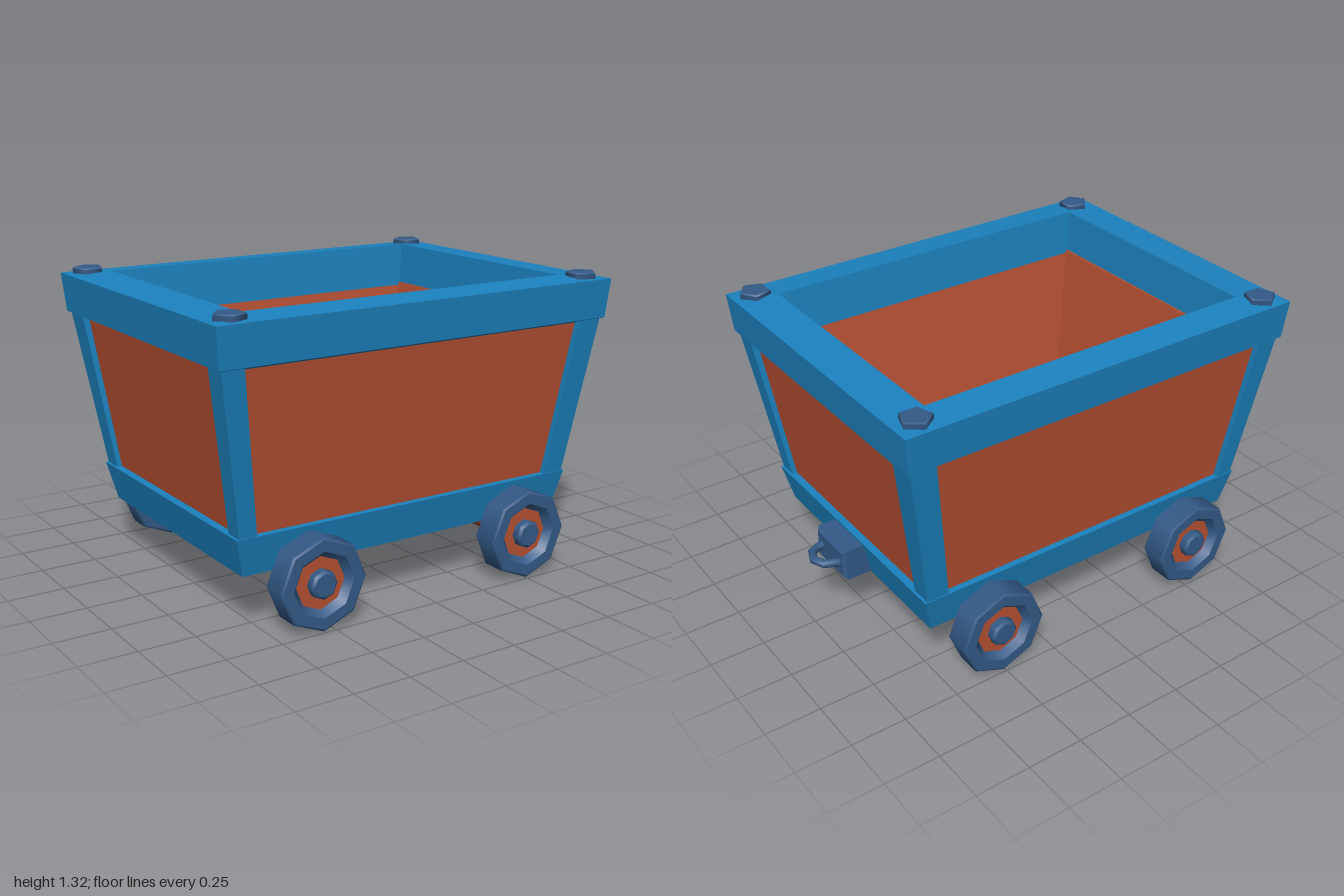
import * as THREE from 'three';

const mat = (name, color) => {
  const m = new THREE.MeshStandardMaterial({ color });
  m.name = name;
  return m;
};

// Rectangular sweep: each section is [half width x, half depth z, y].
// Listed outer bottom -> outer top -> inner, so faces point outward.
function rectLoop(sections, closed) {
  const signs = [[1, 1], [1, -1], [-1, -1], [-1, 1]];
  const pos = [];
  const n = sections.length;
  const at = (s, k) => [s[0] * signs[k % 4][0], s[2], s[1] * signs[k % 4][1]];
  for (let i = 0; i < (closed ? n : n - 1); i++) {
    const lo = sections[i], hi = sections[(i + 1) % n];
    for (let k = 0; k < 4; k++) {
      const a = at(lo, k), b = at(lo, k + 1), c = at(hi, k + 1), d = at(hi, k);
      pos.push(...a, ...b, ...c, ...a, ...c, ...d);
    }
  }
  const g = new THREE.BufferGeometry();
  g.setAttribute('position', new THREE.Float32BufferAttribute(pos, 3));
  g.computeVertexNormals();
  return g;
}

// Leaning corner post: a box whose corners follow the slope of the walls
function postGeometry(sx, sz) {
  const g = new THREE.BoxGeometry(2, 2, 2).toNonIndexed();
  const p = g.attributes.position;
  const innerX = sx > 0 ? [0.82, 0.725] : [0.837, 0.747];
  const innerZ = sz > 0 ? [0.598, 0.53] : [0.577, 0.52];
  for (let i = 0; i < p.count; i++) {
    const top = p.getY(i) > 0;
    const outX = p.getX(i) * sx > 0, outZ = p.getZ(i) * sz > 0;
    const x = outX ? (top ? 0.937 : 0.827) : innerX[top ? 0 : 1];
    const z = outZ ? (top ? 0.703 : 0.615) : innerZ[top ? 0 : 1];
    p.setXYZ(i, x * sx, top ? 1.118 : 0.405, z * sz);
  }
  g.computeVertexNormals();
  return g;
}

// Turned part, smooth around its axis, with every profile corner kept sharp
const lathe = (points, sides) =>
  new THREE.LatheGeometry(points.flatMap(([r, y]) => [new THREE.Vector2(r, y), new THREE.Vector2(r, y)]), sides);

export function createModel() {
  const blue = mat('blue paint', 0x1c82bf);
  const rust = mat('rust red', 0xb85133);
  const darkRust = mat('dark rust', 0x9f472e);
  const iron = mat('slate iron', 0x345a88);

  const model = new THREE.Group();
  model.name = 'mineCart';
  const body = new THREE.Group();
  body.name = 'body';
  body.position.x = -0.033;
  model.add(body);

  const add = (parent, name, geometry, material, x = 0, y = 0, z = 0) => {
    const m = new THREE.Mesh(geometry, material);
    m.name = name;
    m.position.set(x, y, z);
    parent.add(m);
    return m;
  };

  // Frames at the top and bottom
  add(body, 'topRim', rectLoop([
    [0.952, 0.715, 1.115], [0.967, 0.73, 1.286], [0.79, 0.58, 1.298],
    [0.772, 0.562, 1.096], [0.9, 0.665, 1.096],
  ], true), blue);
  add(body, 'baseFrame', rectLoop([
    [0.8, 0.585, 0.243], [0.84, 0.62, 0.412], [0.7, 0.48, 0.415], [0.675, 0.46, 0.243],
  ], true), blue);

  // Sloping walls and floor
  add(body, 'walls', rectLoop([
    [0.8, 0.588, 0.38], [0.908, 0.675, 1.11], [0.765, 0.565, 1.11], [0.635, 0.455, 0.38],
  ], true), rust);
  add(body, 'floor', new THREE.BoxGeometry(1.38, 0.144, 0.95), rust, 0, 0.326, 0);

  // Corner posts and five-sided bolts
  const boltProfile = [[0.069, -0.02], [0.069, 0.022], [0.062, 0.028], [0, 0.028]];
  for (const sx of [-1, 1]) {
    for (const sz of [-1, 1]) {
      add(body, 'cornerPost', postGeometry(sx, sz), blue);
      const bolt = add(body, 'bolt', lathe(boltProfile, 5), iron, sx * 0.869, 1.288, sz * 0.646);
      bolt.rotation.y = sz < 0 ? Math.PI : sx * Math.PI / 2;
    }
  }

  // Wheels: eight-sided tyre dished on both faces, rust web and protruding hub
  const tyre = [
    [0.114, 0.032], [0.142, 0], [0.19, 0], [0.199, 0.006],
    [0.199, 0.115], [0.19, 0.121], [0.142, 0.121], [0.114, 0.089],
  ];
  const web = [[0, 0.034], [0.117, 0.034], [0.117, 0.087], [0, 0.087]];
  const hub = [[0.062, 0.08], [0.062, 0.118], [0.05, 0.128], [0, 0.128]];
  for (const x of [-0.55, 0.505]) {
    for (const s of [-1, 1]) {
      const wheel = new THREE.Group();
      wheel.name = 'wheel';
      wheel.position.set(x, 0.199, s * 0.621);
      wheel.rotation.x = s * Math.PI / 2;
      add(wheel, 'tyre', lathe(tyre, 8), iron);
      add(wheel, 'wheelWeb', lathe(web, 8), rust);
      add(wheel, 'hub', lathe(hub, 8), iron);
      model.add(wheel);
    }
    const axle = add(model, 'axle', new THREE.CylinderGeometry(0.051, 0.051, 1.36, 32), darkRust, x, 0.194, 0);
    axle.rotation.x = Math.PI / 2;
  }

  // Coupling block and ring on one end
  const block = add(model, 'couplingBlock', rectLoop([
    [0, 0, -0.06], [0.074, 0.12, -0.06], [0.074, 0.12, 0.085], [0.06, 0.104, 0.1], [0, 0, 0.1],
  ], false), iron, 0.8, 0.326, 0);
  block.rotation.z = -Math.PI / 2;
  const ring = add(model, 'couplingRing', new THREE.TorusGeometry(0.076, 0.019, 10, 8), iron, 0.905, 0.329, 0);
  ring.rotation.x = Math.PI / 2;

  return model;
}
